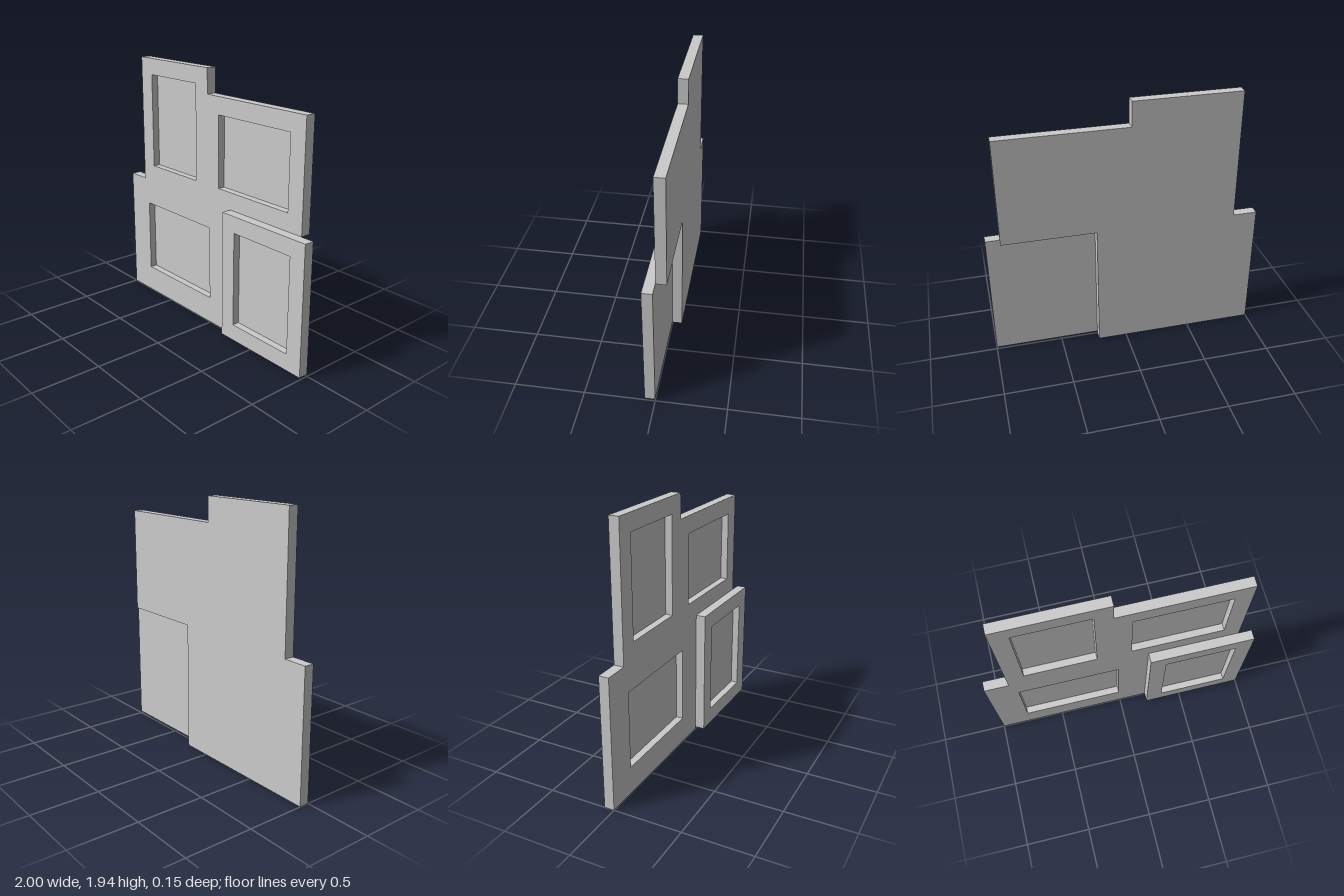
import * as THREE from 'three';

const THICK = 0.073;  // full panel thickness
const BACK = 0.02;    // backing left behind each recess

const material = new THREE.MeshStandardMaterial({ color: 0xcccccc });

const rect = (x0, x1, y0, y1) => [[x0, y0], [x1, y0], [x1, y1], [x0, y1]];
const toPoints = (pts) => pts.map(([x, y]) => new THREE.Vector2(x, y));

// Slab of the given outline, with optional holes cut right through
function slab(name, outline, holes, z, depth) {
  const shape = new THREE.Shape(toPoints(outline));
  for (const h of holes) shape.holes.push(new THREE.Path(toPoints(h)));
  const geometry = new THREE.ExtrudeGeometry(shape, { depth, bevelEnabled: false });
  const mesh = new THREE.Mesh(geometry, material);
  mesh.name = name;
  mesh.position.z = z;
  return mesh;
}

// Panel with recessed windows: a solid backing and a frame in front of it
function recessedPanel(name, outline, windows, z) {
  const panel = new THREE.Group();
  panel.name = name;
  panel.add(
    slab(name + 'Backing', outline, [], 0, BACK),
    slab(name + 'Frame', outline, windows, BACK, THICK - BACK),
  );
  panel.position.z = z;
  return panel;
}

export function createModel() {
  const model = new THREE.Group();
  model.name = 'pictureFrameCluster';

  // Stepped rear panel joining three frames
  const outline = [
    [-1, 0], [0.215, 0], [0.215, 0.968], [0.9, 0.968], [0.9, 1.754],
    [-0.036, 1.754], [-0.036, 1.936], [-0.822, 1.936], [-0.822, 0.968], [-1, 0.968],
  ];
  const windows = [
    rect(-0.694, -0.165, 1.096, 1.813),
    rect(0.087, 0.771, 1.096, 1.626),
    rect(-0.774, -0.01, 0.203, 0.767),
  ];
  model.add(recessedPanel('tripleFrame', outline, windows, -THICK));

  // Single frame standing one thickness forward
  model.add(recessedPanel('singleFrame', rect(0.215, 1, 0.016, 0.968),
    [rect(0.338, 0.873, 0.139, 0.845)], 0));

  return model;
}
